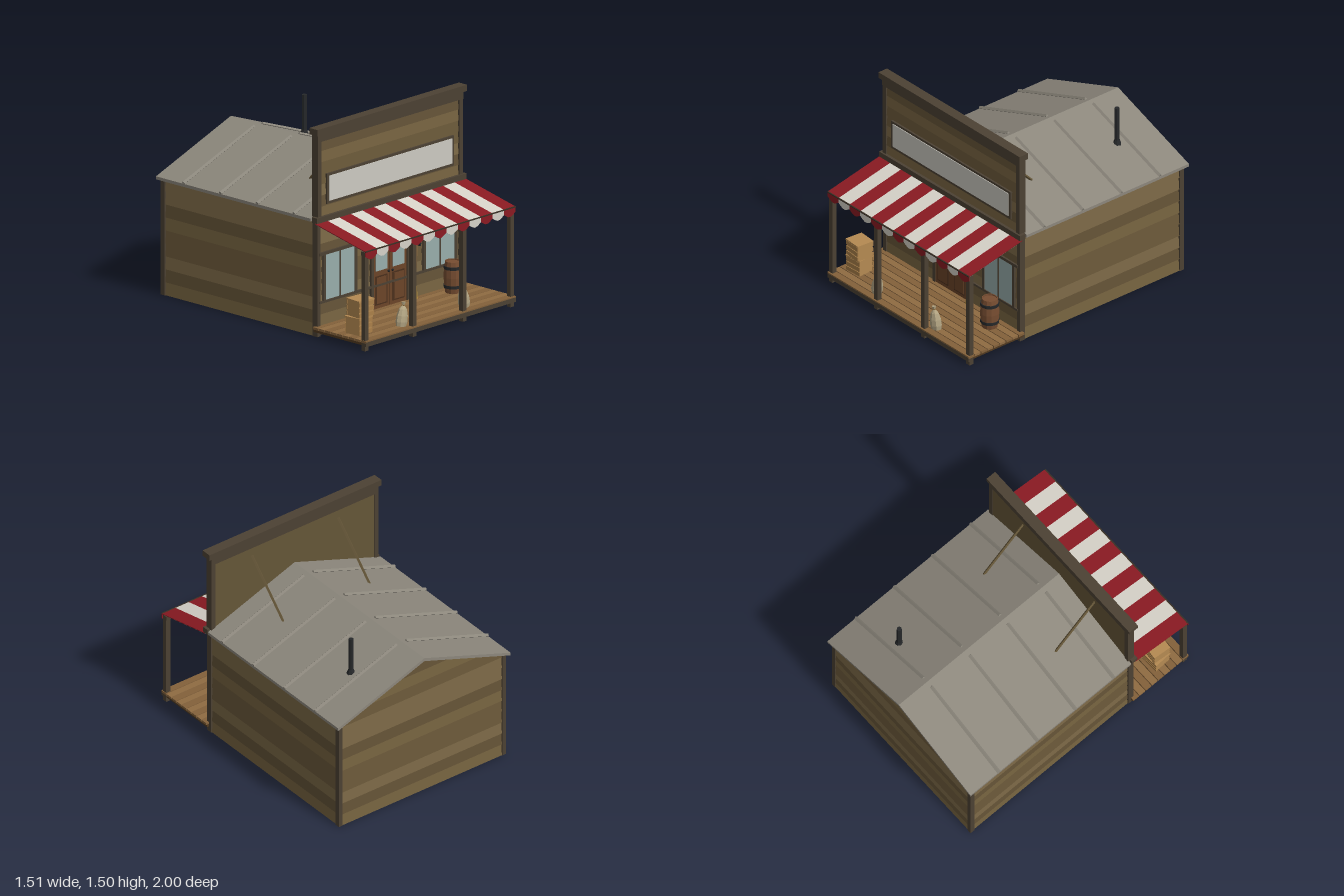
import * as THREE from 'three';

const WOOD = [0x75623f, 0x6a5839, 0x7a6745, 0x635236];
const TRIM = 0x4c4133, DARK = 0x382f24, RED = 0x8a1a22, WHITE = 0xd6d2c8, ROOF = 0x8c877c;
const GLASS = 0x98adab, DOOR = 0x6b4428, IRON = 0x26282a, CRATE = 0xb58a52;

export function createModel() {
  const root = new THREE.Group();
  root.name = 'frontierStore';

  const mesh = (name, geo, color, parent = root, side = THREE.FrontSide) => {
    const m = new THREE.Mesh(geo, new THREE.MeshStandardMaterial({ color, flatShading: true, side }));
    m.name = name;
    parent.add(m);
    return m;
  };
  // Box given by its limits on each axis
  const box = (name, color, x0, x1, y0, y1, z0, z1, parent = root) => {
    const m = mesh(name, new THREE.BoxGeometry(x1 - x0, y1 - y0, z1 - z0), color, parent);
    m.position.set((x0 + x1) / 2, (y0 + y1) / 2, (z0 + z1) / 2);
    return m;
  };
  // Straight round bar between two points
  const rod = (name, color, a, b, r, sides = 6, r2 = r, parent = root) => {
    const p = new THREE.Vector3(...a), q = new THREE.Vector3(...b), d = q.clone().sub(p);
    const m = mesh(name, new THREE.CylinderGeometry(r2, r, d.length(), sides), color, parent);
    m.position.copy(p).add(q).multiplyScalar(0.5);
    m.quaternion.setFromUnitVectors(new THREE.Vector3(0, 1, 0), d.normalize());
    return m;
  };
  const outline = pts => new THREE.Shape(pts.map(p => new THREE.Vector2(...p)));
  const extrude = (pts, depth) => new THREE.ExtrudeGeometry(outline(pts), { depth, bevelEnabled: false });
  const group = (name, parent = root) => {
    const g = new THREE.Group();
    g.name = name;
    parent.add(g);
    return g;
  };

  // Lapped siding: each board is thicker at its lower edge; halfWidth(y) follows the wall outline
  const siding = (name, halfWidth, y0, y1, pitch) => {
    const g = group(name);
    const n = Math.round((y1 - y0) / pitch), h = (y1 - y0) / n;
    for (let i = 0; i < n; i++) {
      const b = y0 + i * h, geo = new THREE.BoxGeometry(2, h, 0.02), p = geo.attributes.position;
      for (let k = 0; k < p.count; k++) {
        const top = p.getY(k) > 0;
        p.setX(k, p.getX(k) * halfWidth(top ? b + h : b));
        p.setZ(k, p.getZ(k) < 0 ? 0 : top ? 0.006 : 0.014);
      }
      geo.computeVertexNormals();
      mesh('sidingBoard', geo, WOOD[(i * 3 + (i >> 2)) % 4], g).position.y = b + h / 2;
    }
    return g;
  };

  // Main building core with gable
  const core = mesh('buildingCore', extrude([[-0.705, 0], [0.705, 0], [0.705, 0.84], [0, 1.095], [-0.705, 0.84]], 1.45), DARK);
  core.position.z = -0.96;
  for (const s of [-1, 1]) {
    const side = siding('sideSiding', () => 0.725, 0, 0.84, 0.093);
    side.position.set(s * 0.705, 0, -0.235);
    side.rotation.y = s * Math.PI / 2;
    box('backCornerPost', TRIM, s * 0.71 - 0.016, s * 0.71 + 0.016, 0, 0.84, -0.978, -0.94);
  }
  const back = siding('backSiding', y => Math.min(0.705, Math.max(0.002, (1.095 - y) / 0.362)), 0, 1.095, 0.0913);
  back.position.z = -0.96;
  back.rotation.y = Math.PI;
  siding('frontSiding', () => 0.705, 0.07, 0.83, 0.085).position.z = 0.49;

  // Gable roof with standing seams
  const roof = group('roof');
  mesh('roofSheets', extrude([[-0.75, 0.828], [0, 1.097], [0.75, 0.828], [0.75, 0.85], [0, 1.122], [-0.75, 0.85]], 1.47), ROOF, roof).position.z = -1;
  const pitch = Math.atan(0.272 / 0.75);
  for (const s of [-1, 1]) for (const z of [-0.74, -0.39, -0.04, 0.31]) {
    const seam = mesh('roofSeam', new THREE.CylinderGeometry(0.012, 0.014, 0.755, 4), ROOF, roof);
    seam.position.set(s * 0.395, 0.983, z);
    seam.rotation.z = s * (Math.PI / 2 - pitch);
  }

  // Stove pipe
  rod('stovePipe', IRON, [0.38, 0.97, -0.665], [0.38, 1.262, -0.665], 0.018, 7);
  rod('pipeFlange', IRON, [0.38, 0.965, -0.665], [0.38, 1.01, -0.665], 0.036, 7, 0.018);

  // False front
  const facade = group('falseFront');
  box('facadeBacking', 0x655638, -0.72, 0.72, 0.83, 1.46, 0.465, 0.495, facade);
  const upper = siding('facadeSiding', () => 0.7, 0.85, 1.41, 0.078);
  upper.position.z = 0.494;
  facade.add(upper);
  for (const s of [-1, 1]) box('facadePost', TRIM, s * 0.708 - 0.018, s * 0.708 + 0.018, 0.83, 1.42, 0.46, 0.515, facade);
  box('frieze', TRIM, -0.727, 0.727, 1.4, 1.46, 0.46, 0.517, facade);
  box('cornice', TRIM, -0.748, 0.748, 1.455, 1.5, 0.455, 0.533, facade);
  box('awningLedger', TRIM, -0.748, 0.748, 0.822, 0.862, 0.48, 0.528, facade);
  box('signFrame', TRIM, -0.635, 0.635, 0.94, 1.157, 0.495, 0.516, facade);
  box('signPanel', 0xcccac2, -0.613, 0.613, 0.96, 1.14, 0.5, 0.521, facade);
  for (const s of [-1, 1]) rod('facadeBrace', 0x655638, [s * 0.375, 0.975, 0.1], [s * 0.375, 1.34, 0.46], 0.01, 4);

  // Shop front trim
  box('headerTrim', TRIM, -0.705, 0.705, 0.578, 0.6, 0.49, 0.516);
  box('sillTrim', TRIM, -0.705, 0.705, 0.234, 0.25, 0.49, 0.516);
  for (const s of [-1, 1]) {
    box('frontCornerPost', TRIM, s * 0.71 - 0.016, s * 0.71 + 0.016, 0, 0.83, 0.465, 0.51);
    // Shop window
    const win = group('shopWindow');
    win.position.x = s * 0.5;
    box('windowFrame', TRIM, -0.17, 0.17, 0.24, 0.59, 0.49, 0.508, win);
    for (const k of [-1, 1]) {
      box('windowPane', GLASS, k * 0.077 - 0.07, k * 0.077 + 0.07, 0.252, 0.576, 0.5, 0.511, win);
      box('windowJamb', TRIM, k * 0.158 - 0.011, k * 0.158 + 0.011, 0.24, 0.59, 0.5, 0.516, win);
    }
    box('mullion', TRIM, -0.007, 0.007, 0.25, 0.578, 0.5, 0.516, win);
    // Door leaf
    const door = group('doorLeaf');
    box('doorPanel', DOOR, s * 0.085 - 0.083, s * 0.085 + 0.083, 0.075, 0.575, 0.49, 0.51, door);
    box('doorPane', GLASS, s * 0.086 - 0.058, s * 0.086 + 0.058, 0.345, 0.542, 0.5, 0.513, door);
    box('panelMoulding', 0x4a2f1c, s * 0.086 - 0.058, s * 0.086 + 0.058, 0.1, 0.308, 0.5, 0.513, door);
    box('raisedPanel', DOOR, s * 0.086 - 0.048, s * 0.086 + 0.048, 0.11, 0.298, 0.5, 0.516, door);
    const knob = mesh('doorKnob', new THREE.IcosahedronGeometry(0.009, 1), IRON, door);
    knob.position.set(s * 0.02, 0.326, 0.518);
    box('doorJamb', TRIM, s * 0.179 - 0.012, s * 0.179 + 0.012, 0.075, 0.58, 0.49, 0.518);
  }

  // Porch deck, posts and beam
  const porch = group('porch');
  box('deckFrame', 0x50391f, -0.742, 0.742, 0.038, 0.06, 0.49, 0.985, porch);
  for (let i = 0; i < 9; i++) {
    const z = 0.49 + i * 0.0567;
    box('deckPlank', i % 2 ? 0x8f6b42 : 0x83613a, -0.75, 0.75, 0.058, 0.075, z, z + 0.051, porch);
  }
  box('deckFascia', TRIM, -0.748, 0.748, 0.034, 0.066, 0.982, 0.996, porch);
  for (const x of [-0.727, -0.25, 0.25, 0.727]) box('porchPost', TRIM, x - 0.018, x + 0.018, 0, 0.7, 0.947, 0.983, porch);
  box('porchBeam', TRIM, -0.745, 0.745, 0.685, 0.712, 0.945, 0.983, porch);

  // Striped awning with scalloped valance
  const awning = group('awning');
  const w = 1.5 / 13, h = w / 2;
  const slope = Math.atan2(0.103, 0.48);
  for (let i = 0; i < 13; i++) {
    const x = -0.75 + (i + 0.5) * w, color = i % 2 ? WHITE : RED;
    const strip = mesh('awningStripe', new THREE.BoxGeometry(w, 0.005, 0.492), color, awning);
    strip.position.set(x, 0.769, 0.75);
    strip.rotation.x = slope;
    const scallop = [[-h, 0.72], [-h, 0.682], [-h * 0.6, 0.667], [-h * 0.2, 0.656], [h * 0.2, 0.656], [h * 0.6, 0.667], [h, 0.682], [h, 0.72]];
    mesh('valanceScallop', extrude(scallop, 0.005), color, awning).position.set(x, 0, 0.987);
  }
  const lining = mesh('awningLining', new THREE.BoxGeometry(1.495, 0.003, 0.488), 0x8a8780, awning);
  lining.position.set(0, 0.765, 0.749);
  lining.rotation.x = slope;
  box('awningRail', DARK, -0.75, 0.75, 0.714, 0.721, 0.986, 0.996, awning);

  // Stacked crates
  const crate = (x, y, z, turn) => {
    const g = group('crate');
    g.position.set(x, y, z);
    g.rotation.y = turn;
    box('crateBody', CRATE, -0.065, 0.065, 0, 0.115, -0.062, 0.062, g);
    box('crateLid', CRATE, -0.071, 0.071, 0.113, 0.124, -0.068, 0.068, g);
    for (const s of [-1, 1]) for (const y0 of [0.004, 0.043, 0.082])
      box('crateSlat', 0xab8049, -0.068, 0.068, y0, y0 + 0.029, s * 0.064 - 0.003, s * 0.064 + 0.003, g);
  };
  crate(-0.625, 0.075, 0.808, 0.05);
  crate(-0.617, 0.2, 0.815, -0.08);

  // Barrel with iron hoops
  const lathe = (pts, sides) => new THREE.LatheGeometry(pts.map(p => new THREE.Vector2(...p)), sides);
  const barrel = group('barrel');
  barrel.position.set(0.525, 0.075, 0.612);
  mesh('barrelStaves', lathe([[0, 0], [0.056, 0], [0.065, 0.06], [0.068, 0.112], [0.065, 0.165], [0.056, 0.225], [0.05, 0.225], [0.05, 0.215], [0, 0.215]], 12), 0x774d31, barrel);
  for (const y of [0.036, 0.17]) mesh('barrelHoop', lathe([[0.06, y], [0.0665, y], [0.0675, y + 0.022], [0.06, y + 0.022]], 12), IRON, barrel, THREE.DoubleSide);

  // Grain sacks leaning on the posts
  for (const s of [-1, 1]) {
    const sack = group('grainSack');
    sack.position.set(s * 0.318, 0.077, 0.918);
    sack.rotation.z = s * 0.16;
    sack.scale.z = 0.75;
    mesh('sackBody', lathe([[0, 0], [0.04, 0], [0.047, 0.03], [0.045, 0.075], [0.032, 0.12], [0.01, 0.147], [0.018, 0.17], [0, 0.166]], 8), 0xb3a583, sack);
    const tie = mesh('sackTie', new THREE.TorusGeometry(0.011, 0.004, 4, 8), 0x7d6238, sack);
    tie.position.y = 0.147;
    tie.rotation.x = Math.PI / 2;
  }

  // Broom and wall bracket
  rod('broomHandle', 0x8d6c40, [0.222, 0.18, 0.54], [0.25, 0.47, 0.53], 0.006);
  rod('broomHead', 0xb08a3c, [0.214, 0.078, 0.545], [0.223, 0.2, 0.54], 0.026, 6, 0.009).scale.z = 0.5;
  box('bracketBar', IRON, 0.213, 0.305, 0.45, 0.459, 0.507, 0.522);
  box('bracketPeg', IRON, 0.281, 0.291, 0.44, 0.47, 0.507, 0.53);

  return root;
}
